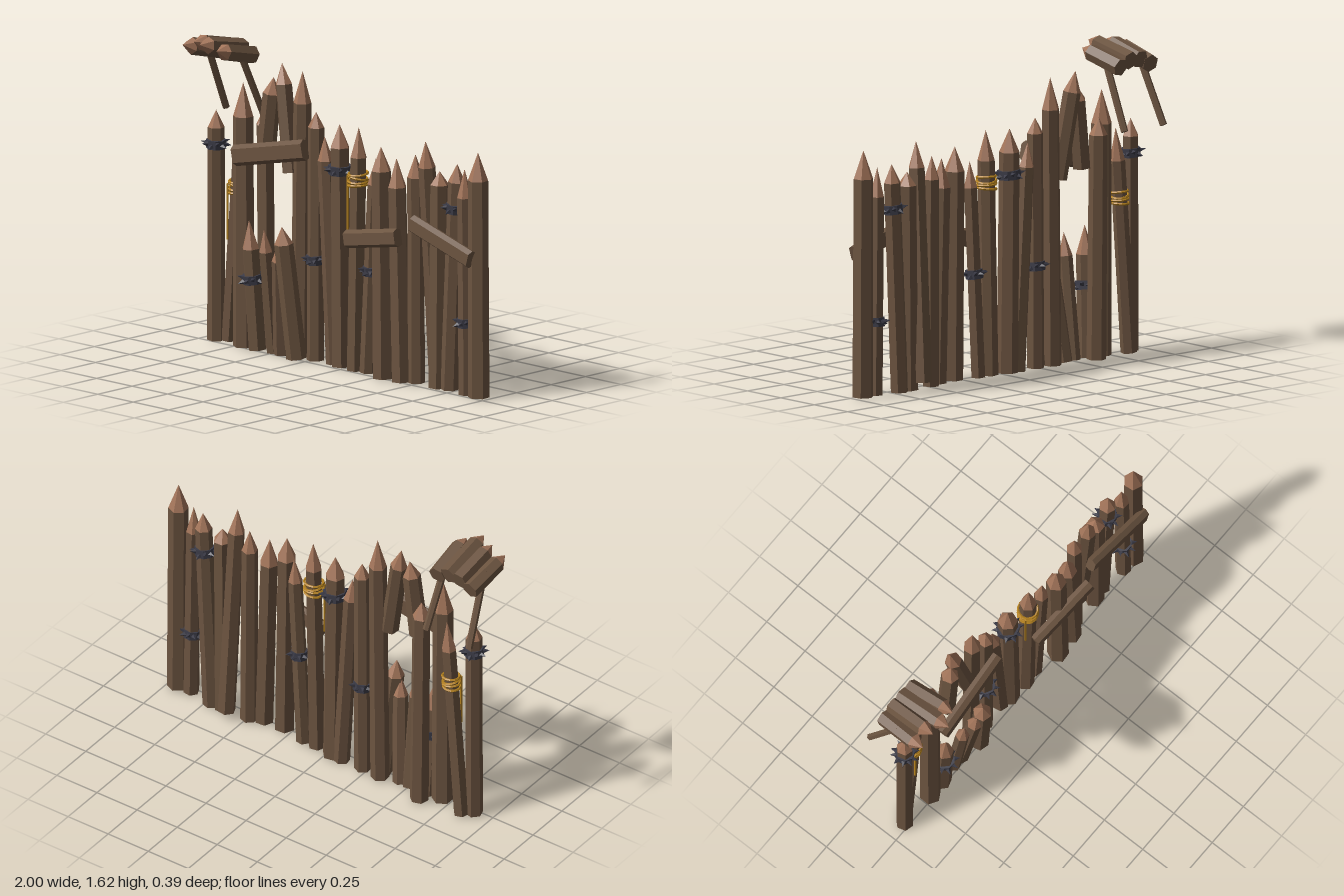
import * as THREE from 'three';

const mat = (name, color) => {
  const m = new THREE.MeshStandardMaterial({ color, flatShading: true });
  m.name = name;
  return m;
};

export function createModel() {
  const wood = mat('bark brown', 0x6c5440);
  const cut = mat('cut wood', 0xa3755a);
  const iron = mat('dark iron', 0x3b3b47);
  const rope = mat('golden rope', 0xb5821f);

  const model = new THREE.Group();
  model.name = 'palisade';
  const UP = new THREE.Vector3(0, 1, 0);
  const V = (x, y, z) => new THREE.Vector3(x, y, z);

  const add = (parent, geo, material, name) => {
    const mesh = new THREE.Mesh(geo, material);
    mesh.name = name;
    parent.add(mesh);
    return mesh;
  };

  // Group whose local y axis runs from a to b, with its origin at a
  const axisGroup = (a, b, name) => {
    const g = new THREE.Group();
    g.name = name;
    g.position.copy(a);
    g.quaternion.setFromUnitVectors(UP, b.clone().sub(a).normalize());
    model.add(g);
    return g;
  };

  // Six-sided sharpened log from a to b
  const log = (a, b, r, tipLength, spin, name) => {
    const g = axisGroup(a, b, name);
    const len = a.distanceTo(b) - tipLength;
    const shaft = add(g, new THREE.CylinderGeometry(r * 0.98, r * 1.04, len, 6), wood, 'shaft');
    shaft.position.y = len / 2;
    shaft.rotation.y = spin;
    const tip = add(g, new THREE.ConeGeometry(r * 0.98, tipLength, 6, 1, true), cut, 'sharpenedTip');
    tip.position.y = len + tipLength / 2;
    tip.rotation.y = spin;
    return g;
  };

  // Iron band with a ring of spikes, around a log of radius r
  const spikedBand = (parent, y, r) => {
    const g = new THREE.Group();
    g.name = 'spikedBand';
    g.position.y = y;
    g.rotation.set(0.04, y * 3, 0.06);
    parent.add(g);
    add(g, new THREE.CylinderGeometry(r + 0.007, r + 0.007, 0.046, 8), iron, 'ironBand');
    for (let s = 0; s < 10; s++) {
      const a = (s / 10) * Math.PI * 2;
      const lift = Math.sin(s * 2.4);
      const dir = V(Math.cos(a), lift * 0.3, Math.sin(a)).normalize();
      const spike = add(g, new THREE.ConeGeometry(0.015, 0.036, 4), iron, 'spike');
      spike.position.copy(dir).multiplyScalar(r + 0.018);
      spike.position.y = lift * 0.013;
      spike.quaternion.setFromUnitVectors(UP, dir);
    }
  };

  // Upright post; the tip may sit further forward than the foot
  const BASE = 0.015;
  const post = (footX, tipX, tipY, z, r, tipLength, bandY, forward = 0) => {
    const g = log(V(footX, BASE, z), V(tipX, tipY, z + forward), r, tipLength, footX * 9, 'post');
    if (bandY) spikedBand(g, bandY - BASE, r);
    return g;
  };

  // Full posts: foot x, tip x, tip y, z, radius, tip length, optional band height
  const leftRun = [
    [-0.90, -0.90, 1.21, -0.025, 0.044, 0.09, 1.035],
    [-0.85, -0.76, 1.185, -0.065, 0.04, 0.17],
    [-0.70, -0.705, 1.385, -0.02, 0.054, 0.175],
    [-0.605, -0.62, 1.26, -0.09, 0.048, 0.09],
    [-0.335, -0.32, 1.5, -0.055, 0.047, 0.165],
    [-0.225, -0.22, 1.305, -0.05, 0.043, 0.08, 0.54],
    [-0.095, -0.165, 1.185, -0.055, 0.042, 0.125],
    [-0.035, -0.05, 1.27, -0.045, 0.053, 0.12, 1.035],
  ].map((p) => post(...p));
  const rightRun = [
    [0.075, 0.10, 1.28, -0.03, 0.045, 0.155],
    [0.155, 0.215, 1.135, -0.035, 0.038, 0.135, 0.55],
    [0.30, 0.285, 1.215, 0, 0.053, 0.125],
    [0.42, 0.385, 1.17, -0.01, 0.05, 0.15],
    [0.49, 0.485, 1.2, -0.045, 0.043, 0.12],
    [0.645, 0.655, 1.14, -0.045, 0.05, 0.07],
    [0.715, 0.77, 1.195, -0.055, 0.045, 0.095, 0.965],
    [0.86, 0.845, 1.185, -0.03, 0.04, 0.15, 0.39],
    [0.945, 0.94, 1.285, -0.03, 0.053, 0.145],
  ].map((p) => post(...p));

  // Broken short posts below the gap, leaning forward
  post(-0.605, -0.625, 0.69, -0.02, 0.047, 0.15, 0.385, 0.04);
  post(-0.50, -0.50, 0.665, -0.03, 0.037, 0.12, 0, 0.07);
  post(-0.445, -0.395, 0.62, -0.03, 0.04, 0.11, 0, 0.07);
  post(-0.32, -0.365, 0.70, -0.01, 0.05, 0.09, 0, 0.06);

  // Post tilted out at the back, and two hung above the gap
  log(V(0.59, 0.055, -0.10), V(0.575, 1.285, -0.025), 0.045, 0.135, 0.4, 'tiltedPost');
  log(V(-0.56, 1.0, -0.03), V(-0.51, 1.44, -0.04), 0.048, 0.085, 0.3, 'hungPost');
  log(V(-0.385, 0.965, -0.04), V(-0.48, 1.515, -0.07), 0.046, 0.11, 0.9, 'hungPost');

  // Rope lashing of four turns, with one end hanging straight down
  const lashing = (parent, y, r, end, drop) => {
    for (let k = 0; k < 4; k++) {
      const turn = add(parent, new THREE.TorusGeometry(r + 0.005, 0.007, 5, 12), rope, 'ropeTurn');
      turn.position.y = y - BASE + (k - 1.5) * 0.02;
      turn.rotation.set(Math.PI / 2 + Math.sin(k * 2.5) * 0.12, Math.cos(k * 1.7) * 0.13, 0);
    }
    const strand = add(model, new THREE.CylinderGeometry(0.006, 0.006, drop, 5), rope, 'ropeEnd');
    strand.position.copy(end);
    strand.position.y -= drop / 2;
  };
  lashing(leftRun[1], 0.825, 0.04, V(-0.818, 0.84, -0.022), 0.29);
  lashing(rightRun[0], 1.01, 0.045, V(0.046, 1.03, -0.005), 0.295);

  // Split-log cross plank with a ridged hexagonal section
  const plank = (x, y, z, length, h, roll, yaw) => {
    const s = new THREE.Shape();
    s.moveTo(0.025, -0.4 * h);
    s.lineTo(0.025, 0.4 * h);
    s.lineTo(0, 0.5 * h);
    s.lineTo(-0.025, 0.32 * h);
    s.lineTo(-0.025, -0.32 * h);
    s.lineTo(0, -0.5 * h);
    const geo = new THREE.ExtrudeGeometry(s, { depth: length, bevelEnabled: false });
    geo.translate(0, 0, -length / 2).rotateY(Math.PI / 2);
    const mesh = add(model, geo, wood, 'crossPlank');
    mesh.position.set(x, y, z);
    mesh.rotation.set(0, yaw, roll);
  };
  plank(-0.455, 1.07, 0.045, 0.48, 0.11, 0.21, 0.05);
  plank(0.275, 0.745, 0.052, 0.4, 0.095, 0.19, -0.09);
  plank(0.74, 0.80, 0.03, 0.435, 0.095, -0.28, -0.02);

  // Raised row of four stakes pointing forward, fanned slightly
  for (let i = 0; i < 4; i++) {
    const y = 1.565 + Math.sin(i) * 0.035;
    const back = V(-0.945 + i * 0.068, y - 0.065, -0.125);
    const front = V(-0.968 + i * 0.08, y, i === 2 ? 0.19 : 0.15);
    log(back, front, 0.046, 0.065, i * 0.6, 'forwardStake');
  }

  // Thin struts slanting down behind the raised stakes
  for (const [footX, topX] of [[-0.982, -0.955], [-0.715, -0.73]]) {
    const a = V(footX, 1.185, -0.182);
    const b = V(topX, 1.56, -0.01);
    const len = a.distanceTo(b);
    const strut = add(axisGroup(a, b, 'strut'), new THREE.CylinderGeometry(0.019, 0.019, len, 6), wood, 'strutShaft');
    strut.position.y = len / 2;
  }

  return model;
}
